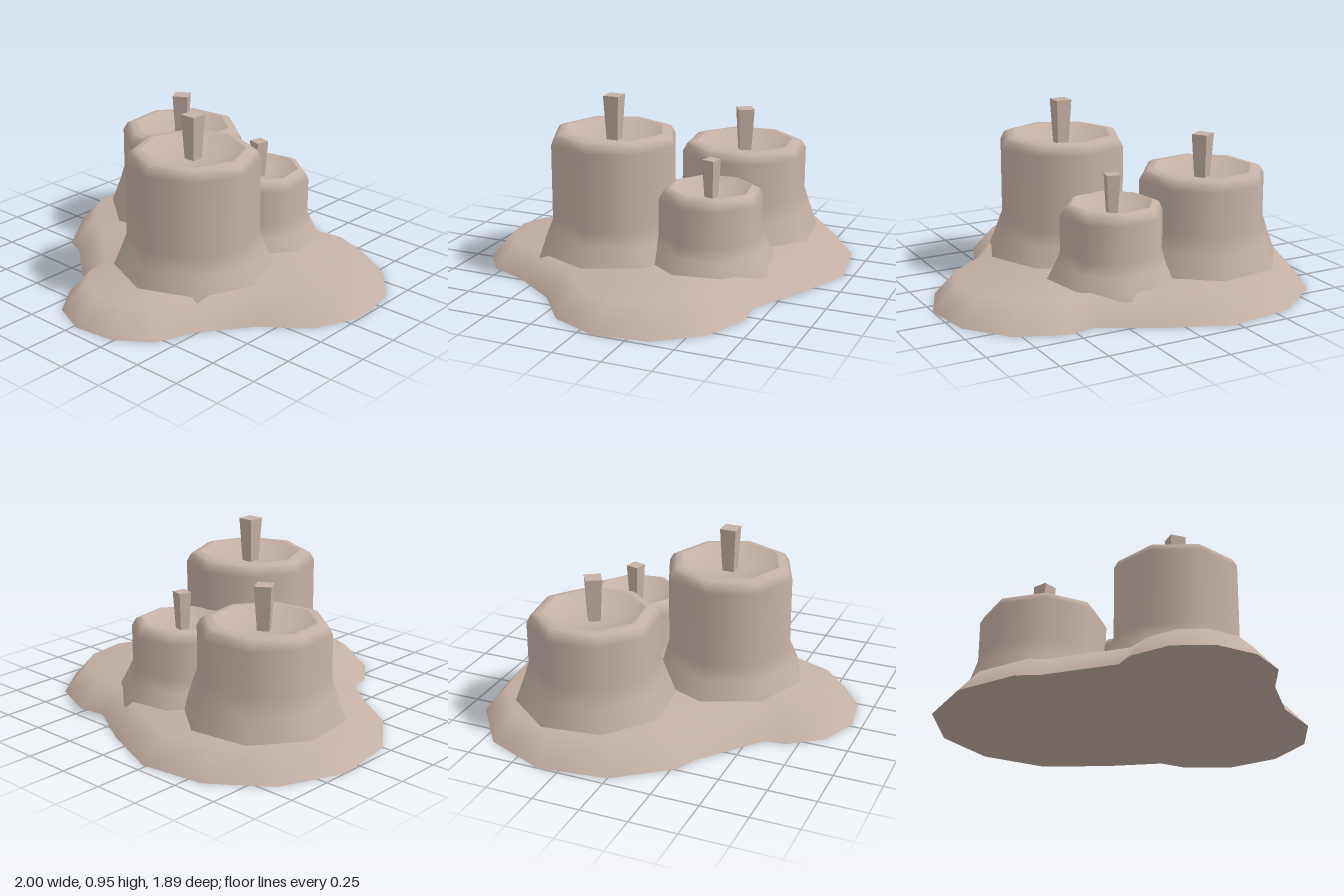
import * as THREE from 'three';

const wax = new THREE.MeshStandardMaterial({ name: 'wax', color: 0xc4b0a6 });

// Pool outline at floor level (x, z), anticlockwise seen from above
const OUTLINE = [
  [-0.23, -0.95], [-0.58, -0.9], [-0.86, -0.69], [-1, -0.36], [-0.95, 0], [-0.74, 0.28],
  [-0.63, 0.325], [-0.32, 0.58], [-0.305, 0.69], [-0.175, 0.865], [0.02, 0.945], [0.24, 0.915],
  [0.41, 0.79], [0.49, 0.59], [0.67, 0.34], [0.89, 0.17], [1, -0.085], [0.96, -0.36],
  [0.79, -0.58], [0.54, -0.68], [0.39, -0.66], [0.11, -0.815],
];
const POOL_TOP = 0.135;

function mesh(name, geometry) {
  const m = new THREE.Mesh(geometry, wax);
  m.name = name;
  return m;
}

function geometryFrom(positions, index) {
  const g = new THREE.BufferGeometry();
  g.setAttribute('position', new THREE.Float32BufferAttribute(positions, 3));
  g.setIndex(index);
  g.computeVertexNormals();
  return g;
}

// Spilled wax: sloping rim and flat top share smooth normals; the underside is separate
function createPool() {
  const n = OUTLINE.length;
  const lower = [], upper = [], topIndex = [], baseIndex = [];
  OUTLINE.forEach(([x, z], i) => {
    const a = OUTLINE[(i + n - 1) % n], b = OUTLINE[(i + 1) % n];
    const tx = b[0] - a[0], tz = b[1] - a[1];
    const inset = 0.12 / Math.hypot(tx, tz);
    lower.push(x, 0, z);
    upper.push(x + tz * inset, POOL_TOP, z - tx * inset);
    const j = (i + 1) % n;
    topIndex.push(i, j, n + j, i, n + j, n + i, 2 * n, n + i, n + j);
    baseIndex.push(n, j, i);
  });
  const pool = new THREE.Group();
  pool.name = 'waxPool';
  pool.add(
    mesh('poolTop', geometryFrom([...lower, ...upper, 0, POOL_TOP, -0.1], topIndex)),
    mesh('poolUnderside', geometryFrom([...lower, 0, 0, -0.1], baseIndex)),
  );
  return pool;
}

function lathe(points) {
  return new THREE.LatheGeometry(points.map(([r, y]) => new THREE.Vector2(r, y)), 8);
}

// Square wick, narrower at its foot
function createWick(bottom, top, width) {
  const g = new THREE.BoxGeometry(width, top - bottom, width);
  const p = g.attributes.position;
  for (let i = 0; i < p.count; i++) {
    if (p.getY(i) < 0) p.setXYZ(i, p.getX(i) * 0.68, p.getY(i), p.getZ(i) * 0.68);
  }
  g.computeVertexNormals();
  const wick = mesh('wick', g);
  wick.position.y = (bottom + top) / 2;
  return wick;
}

// Eight-sided candle with a flared foot, rounded shoulder and hollowed top
function createCandle({ name, x, z, foot, body, rim, flare, height, turn, wickTop, wickTurn, wickWidth }) {
  const candle = new THREE.Group();
  candle.name = name;
  candle.position.set(x, 0, z);
  const outside = mesh('candleBody', lathe([
    [foot + 0.012, 0.1], [foot, POOL_TOP], [body + (foot - body) * 0.42, POOL_TOP + (flare - POOL_TOP) * 0.55],
    [body, flare], [body, height - 0.055], [body - 0.022, height - 0.015], [body - 0.045, height - 0.003], [rim, height],
  ]));
  const hollow = mesh('meltedHollow', lathe([
    [rim, height], [rim * 0.75, height - 0.03], [rim * 0.4, height - 0.05], [0, height - 0.056],
  ]));
  outside.rotation.y = hollow.rotation.y = turn;
  const wick = createWick(height - 0.08, wickTop, wickWidth);
  wick.rotation.y = wickTurn;
  candle.add(outside, hollow, wick);
  return candle;
}

const CANDLES = [
  { name: 'tallCandle', x: 0.13, z: 0.21, foot: 0.415, body: 0.345, rim: 0.27, flare: 0.31, height: 0.77,
    turn: 0, wickTop: 0.95, wickTurn: 0, wickWidth: 0.086 },
  { name: 'mediumCandle', x: -0.435, z: -0.31, foot: 0.418, body: 0.342, rim: 0.265, flare: 0.35, height: 0.63,
    turn: Math.atan2(0.11, -0.405), wickTop: 0.805, wickTurn: 0.54, wickWidth: 0.086 },
  { name: 'smallCandle', x: 0.115, z: -0.33, foot: 0.34, body: 0.272, rim: 0.215, flare: 0.27, height: 0.515,
    turn: Math.atan2(0.065, -0.27), wickTop: 0.66, wickTurn: -0.24, wickWidth: 0.07 },
];

export function createModel() {
  const model = new THREE.Group();
  model.name = 'meltedCandles';
  model.add(createPool(), ...CANDLES.map(createCandle));
  return model;
}
